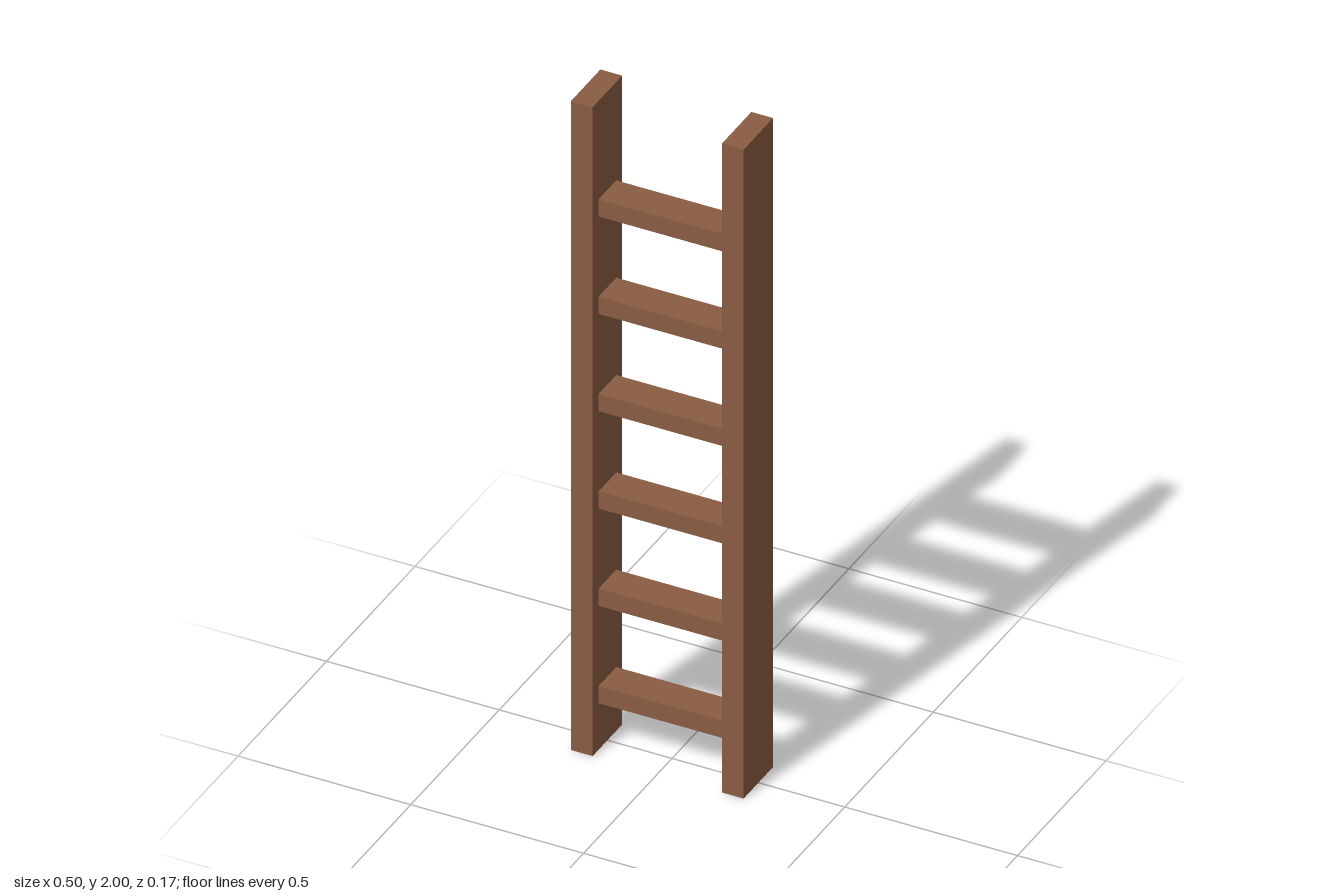
import * as THREE from 'three';

export function createModel() {
  const model = new THREE.Group();
  model.name = 'ladder';

  const wood = new THREE.MeshStandardMaterial({ color: 0x8a5d42 });
  wood.name = 'brown wood';

  const addBox = (name, width, height, depth, x, y) => {
    const mesh = new THREE.Mesh(new THREE.BoxGeometry(width, height, depth), wood);
    mesh.name = name;
    mesh.position.set(x, y, 0);
    model.add(mesh);
  };

  // Two upright side rails
  const halfWidth = 0.25, railWidth = 0.063;
  for (const side of [-1, 1]) {
    addBox(side > 0 ? 'leftRail' : 'rightRail', railWidth, 2, 0.167, side * (halfWidth - railWidth / 2), 1);
  }

  // Six evenly spaced rungs between the rails
  const rungLength = 2 * (halfWidth - railWidth);
  for (let i = 0; i < 6; i++) {
    addBox(`rung${i + 1}`, rungLength, 0.053, 0.1, 0, 0.17 + i * 0.3);
  }

  return model;
}
